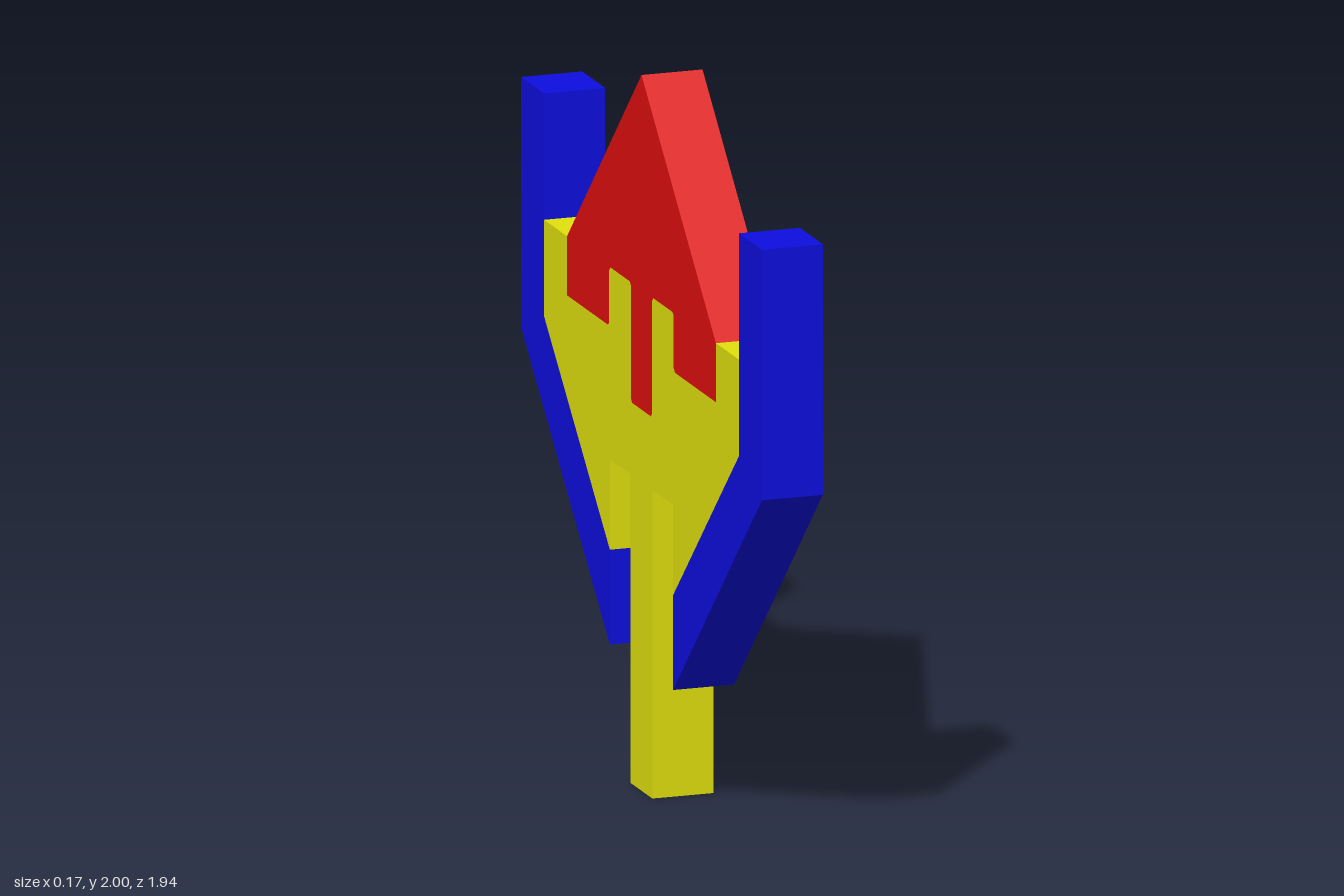
import * as THREE from 'three';

const THICKNESS = 0.175;

const red = new THREE.MeshStandardMaterial({ name: 'red', color: 0xe00e0e });
const yellow = new THREE.MeshStandardMaterial({ name: 'yellow', color: 0xe0e00e });
const blue = new THREE.MeshStandardMaterial({ name: 'blue', color: 0x0e0ee0 });

// Flat slab from an outline of [z, y] points, extruded across x
function slab(name, outline, material) {
  const shape = new THREE.Shape(outline.map(([z, y]) => new THREE.Vector2(z, y)));
  const geometry = new THREE.ExtrudeGeometry(shape, { depth: THICKNESS, bevelEnabled: false });
  geometry.translate(0, 0, -THICKNESS / 2);
  geometry.rotateY(-Math.PI / 2);
  const mesh = new THREE.Mesh(geometry, material);
  mesh.name = name;
  return mesh;
}

// Flip points front to back, in reverse order so they close an outline
const mirrored = (points) => points.map(([z, y]) => [-z, y]).reverse();
const symmetric = (half) => [...half, ...mirrored(half)];

export function createModel() {
  const model = new THREE.Group();
  model.name = 'emblem';

  // Toothed seam shared by the roof and the body, from the eave inwards
  const seam = [
    [0.6, 1.4], [0.6, 1.235], [0.27, 1.235], [0.26, 1.245], [0.26, 1.39], [0.25, 1.4],
    [0.095, 1.4], [0.085, 1.39], [0.085, 1.075], [0.075, 1.065],
  ];

  // Body with central stem and two slots beside it
  const bodyEdge = [
    [0.0875, 0], [0.0875, 0.863], [0.255, 0.863], [0.255, 0.61], [0.785, 1.13], [0.785, 1.4],
  ];
  model.add(slab('body', symmetric([...bodyEdge, ...seam]), yellow));

  // Pointed roof with three teeth
  model.add(slab('roof', [[0, 2], ...symmetric(seam)], red));

  // Bent arms along the outer edges
  const arm = [
    [0.255, 0.345], [0.97, 1.053], [0.97, 1.753], [0.785, 1.753], [0.785, 1.13], [0.255, 0.61],
  ];
  model.add(slab('frontArm', arm, blue));
  model.add(slab('backArm', mirrored(arm), blue));

  return model;
}
